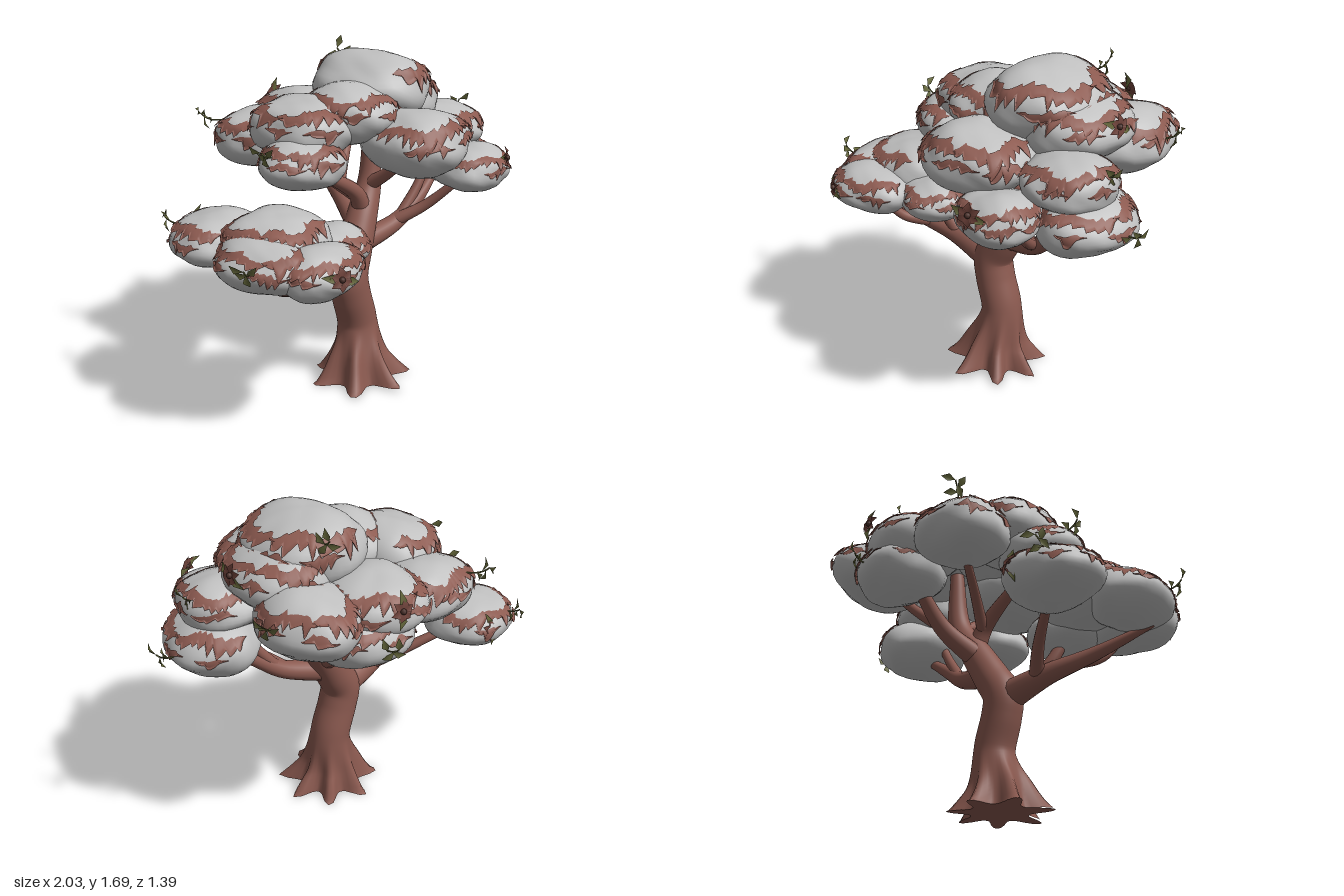
import * as THREE from 'three';
import { mergeVertices } from 'three/addons/utils/BufferGeometryUtils.js';

const material = (name, color, side = THREE.FrontSide) => {
  const m = new THREE.MeshStandardMaterial({ color, side });
  m.name = name;
  return m;
};

export function createModel() {
  const tree = new THREE.Group();
  tree.name = 'tree';
  const bark = material('bark brown', 0x8a594f);
  const foliage = material('foliage grey', 0xc0c0c0);
  const patch = material('leaf patch brown', 0x8c5a50, THREE.DoubleSide);
  const green = material('sprig olive', 0x64663a, THREE.DoubleSide);
  const petal = material('petal red brown', 0x6e423a, THREE.DoubleSide);
  const core = material('flower centre', 0x4a302a);

  let seed = 7;
  const rnd = () => (seed = (seed * 16807) % 2147483647) / 2147483647;
  const add = (parent, name, geometry, mat) => {
    const mesh = new THREE.Mesh(geometry, mat);
    mesh.name = name;
    parent.add(mesh);
    return mesh;
  };

  // Tapered limb along a smooth path, with a rounded end; swell() may widen each ring
  const limb = (name, radii, pts, steps = 20, sides = 14, swell = () => 1) => {
    const curve = new THREE.CatmullRomCurve3(pts.map(p => new THREE.Vector3(...p)));
    let geo = new THREE.TubeGeometry(curve, steps, 1, sides, false);
    const pos = geo.attributes.position, v = new THREE.Vector3();
    for (let i = 0; i <= steps; i++) {
      const c = curve.getPointAt(i / steps);
      const f = curve.getUtoTmapping(i / steps) * (radii.length - 1);
      const k = Math.min(Math.floor(f), radii.length - 2);
      const r = THREE.MathUtils.lerp(radii[k], radii[k + 1], f - k);
      for (let j = 0; j <= sides; j++) {
        const n = i * (sides + 1) + j;
        v.fromBufferAttribute(pos, n).sub(c);
        v.multiplyScalar(r * swell(Math.atan2(v.z, v.x), c.y)).add(c);
        pos.setXYZ(n, v.x, Math.max(0, v.y), v.z);
      }
    }
    geo.deleteAttribute('uv');
    geo.deleteAttribute('normal');
    geo = mergeVertices(geo);
    geo.computeVertexNormals();
    add(tree, name, geo, bark);
    const tip = new THREE.SphereGeometry(radii[radii.length - 1], 10, 8);
    add(tree, name + 'Tip', tip, bark).position.set(...pts[pts.length - 1]);
  };

  // Trunk with a flare of seven pointed roots
  const flare = (a, y) => {
    const k = Math.max(0, 1 - y / 0.32) ** 2;
    const lobe = (0.5 + 0.5 * Math.cos(7 * a + 0.9 * Math.sin(a))) ** 1.8;
    return 1 + k * (0.12 + lobe * (0.88 + 0.1 * Math.sin(a)));
  };
  limb('trunk', [.132, .122, .102, .1, .1, .092, .08, .06, .035],
    [[.02, 0, .055], [.02, .1, .05], [.035, .3, .035], [-.015, .47, .03], [-.03, .57, .025], [.03, .68, .015],
      [.12, .83, 0], [.22, 1, -.02], [.24, 1.32, -.03]], 64, 56, flare);
  const base = new THREE.Shape();
  for (let i = 0; i < 84; i++) {
    const a = i / 84 * Math.PI * 2, r = .132 * flare(a, 0);
    base[i ? 'lineTo' : 'moveTo'](Math.cos(a) * r, Math.sin(a) * r);
  }
  const sole = add(tree, 'rootUnderside', new THREE.ShapeGeometry(base), bark);
  sole.rotation.x = Math.PI / 2;
  sole.position.set(.02, 0.001, .055);

  // Branches
  limb('leftLimb', [.08, .052, .036, .016], [[-.02, .56, .03], [-.3, .62, .04], [-.52, .68, .11], [-.8, .78, .2]]);
  limb('leftFrontTwig', [.032, .02], [[-.42, .655, .08], [-.5, .7, .2], [-.55, .79, .28]]);
  limb('leftBackTwig', [.04, .018], [[-.24, .61, .03], [-.36, .7, -.1], [-.58, .84, -.28]]);
  limb('leftInnerTwig', [.038, .025], [[-.25, .61, .03], [-.31, .69, .06], [-.36, .8, .1]]);
  limb('rightLimb', [.06, .045, .035, .02], [[.08, .71, .02], [.3, .775, .09], [.44, .87, .13], [.62, 1, .14]]);
  limb('rightFrontTwig', [.034, .02], [[.3, .79, .1], [.38, .87, .22], [.44, 1.02, .38]]);
  limb('rightUpperTwig', [.03, .02], [[.34, .81, .1], [.44, .94, .13], [.55, 1.12, .15]]);
  limb('backLimb', [.06, .045, .028], [[.1, .8, -.01], [.18, .94, -.2], [.18, 1.16, -.42]]);
  limb('backRightTwig', [.034, .02], [[.17, .93, -.18], [.3, 1.04, -.24], [.46, 1.2, -.3]]);
  limb('crownLeftLimb', [.052, .042, .026], [[.14, .84, 0], [.07, .97, 0], [-.16, 1.12, -.03]]);
  limb('crownBackTwig', [.032, .02], [[.08, .95, 0], [0, 1.05, -.14], [-.12, 1.14, -.34]]);
  limb('crownFrontTwig', [.04, .022], [[.2, .98, -.02], [.19, 1.06, .1], [.17, 1.18, .24]]);

  // Point on a gently lumpy ellipsoid, by polar angle and azimuth
  const surface = (b, p, a, lift = 1) => {
    const x = Math.sin(p) * Math.cos(a), y = Math.cos(p), z = Math.sin(p) * Math.sin(a), s = b.id * 1.7;
    const k = lift * (1 + .03 * Math.sin(5 * x + s) + .03 * Math.sin(5 * z + 2 * s) + .02 * Math.sin(6 * y + 4 * x - s)
      + .012 * Math.sin(9 * x + 7 * y + s) * Math.sin(9 * z - s));
    return [b.x + x * b.rx * k, b.y + y * b.ry * k * (y < 0 ? .93 : 1), b.z + z * b.rz * k];
  };
  const grid = (cols, rows, point) => {
    const pos = [], idx = [];
    for (let i = 0; i <= cols; i++) for (let j = 0; j <= rows; j++) {
      pos.push(...point(i, j));
      if (i < cols && j < rows) {
        const n = i * (rows + 1) + j, m = n + rows + 1;
        idx.push(n, m, n + 1, m, m + 1, n + 1);
      }
    }
    let g = new THREE.BufferGeometry();
    g.setAttribute('position', new THREE.Float32BufferAttribute(pos, 3));
    g.setIndex(idx);
    g = mergeVertices(g);
    g.computeVertexNormals();
    return g;
  };
  // Ragged leaf patch on a blob: overlapping slanted leaf tips hang from its lower edge
  const band = (parent, b, a0, a1, p0, p1) => {
    const n = Math.max(10, Math.round((a1 - a0) / .045)), edges = [];
    let tip = 0, length = 4, step = 0, rise = 0;
    for (let i = 0; i <= n; i++) {
      if (step >= length) {
        step = 0;
        length = 3 + Math.floor(rnd() * 4);
        tip = rnd() < .3 ? .3 + rnd() * .2 : .08 + rnd() * .16;
        rise = rnd() * .16;
      }
      const taper = Math.min(1, i / 6, (n - i) / 6), mid = (p0 + p1) / 2, u = step++ / length;
      const wave = .1 * Math.sin(i * .21 + b.id);
      const top = p0 + wave - rise * (1 - u);
      const low = p1 + wave + tip * u;
      edges.push([mid + (top - mid) * taper, mid + (low - mid) * taper]);
    }
    add(parent, 'leafPatch', grid(n, 6, (i, j) => surface(b, THREE.MathUtils.lerp(...edges[i], j / 6),
      a0 + (a1 - a0) * i / n, j === 6 ? 1.05 : 1.02)), patch);
  };

  // Foliage clusters of blobs [x, y, z, x radius, z radius]; patches face away from the cluster axis
  let id = 0;
  const cluster = (name, cx, cz, flatness, blobs) => blobs.forEach(([x, y, z, rx, rz]) => {
    const b = { x, y, z, rx, rz, ry: flatness * (rx + rz) / 2, id: id++ };
    const group = new THREE.Group();
    group.name = name;
    tree.add(group);
    add(group, 'foliageBlob', grid(40, 24, (i, j) => surface(b, j / 24 * Math.PI, (i % 40) / 40 * Math.PI * 2)), foliage);
    const h = Math.atan2(z - cz, x - cx);
    band(group, b, h - 2.1, h - .2, .83, 1.05);
    band(group, b, h - .35, h + 2.1, .88, 1.08);
    for (const s of [-1.2, -.3, .75]) {
      const w = .28 + rnd() * .2, p = 1.25 + rnd() * .12;
      band(group, b, h + s - w, h + s + w, p, p + .14);
    }
  });
  cluster('lowerFoliage', -.5, 0, .58, [
    [-.62, .88, -.31, .24, .215], [-.76, .87, .08, .2, .25], [-.64, .85, .29, .23, .19],
    [-.58, .92, .01, .25, .24], [-.33, .84, .14, .195, .18]]);
  cluster('crownFoliage', .15, -.05, .63, [
    [.26, 1.48, -.04, .28, .3], [0, 1.4, .01, .23, .25], [-.2, 1.35, -.12, .23, .26],
    [-.33, 1.22, -.03, .22, .21], [.15, 1.265, .3, .275, .26], [.58, 1.23, .17, .22, .22],
    [.42, 1.1, .45, .2, .19], [.67, 1.06, .15, .22, .25]]);
  cluster('backFoliage', .15, -.05, .65, [
    [.17, 1.29, -.4, .25, .24], [-.15, 1.25, -.41, .23, .23], [.5, 1.28, -.32, .23, .27],
    [.44, 1.39, -.06, .23, .27], [.25, 1.17, -.42, .24, .22]]);

  // Folded leaf, pointing along +y
  const leaf = (l, w) => {
    const g = new THREE.BufferGeometry();
    g.setAttribute('position', new THREE.Float32BufferAttribute(
      [0, 0, 0, 0, l * .5, .1 * l, 0, l, 0, -w, l * .5, .25 * l, w, l * .5, .25 * l], 3));
    g.setIndex([0, 1, 3, 1, 2, 3, 0, 4, 1, 1, 4, 2]);
    g.computeVertexNormals();
    return g;
  };
  // Group whose +z points outward from the cluster it sits on
  const outward = (name, x, y, z) => {
    const g = new THREE.Group(), low = x < -.4 && y < 1;
    g.name = name;
    g.position.set(x, y, z);
    const d = new THREE.Vector3(x - (low ? -.5 : .15), .08, z - (low ? 0 : -.05)).normalize();
    g.quaternion.setFromUnitVectors(new THREE.Vector3(0, 0, 1), d);
    tree.add(g);
    return g;
  };

  // Leafy sprigs
  const stem = new THREE.QuadraticBezierCurve3(new THREE.Vector3(0, 0, -.02),
    new THREE.Vector3(0, -.02, .05), new THREE.Vector3(0, .02, .09));
  const stemGeometry = new THREE.TubeGeometry(stem, 8, .004, 5);
  const sprigLeaf = leaf(.07, .018);
  [[.89, 1.07, .14], [-.92, .9, .14], [-.7, .94, -.47], [-.28, 1.34, -.58], [-.5, 1.29, -.06],
    [.33, 1.58, -.26], [.7, 1.33, -.32], [.73, 1.3, .13], [.3, 1.18, -.6]].forEach(p => {
    const g = outward('sprig', ...p);
    add(g, 'stem', stemGeometry, green);
    for (let i = 0; i < 4; i++) {
      const m = add(g, 'sprigLeaf', sprigLeaf, green);
      m.position.copy(stem.getPoint(1 - i * .2));
      m.rotation.set(.5, 0, 1 + i * 2.2);
    }
  });

  // Six-petalled flowers with two leaves
  const petalGeometry = leaf(.06, .022), flowerLeaf = leaf(.095, .02);
  [[.42, 1.18, .64], [-.72, .88, .47], [.25, 1.36, -.65], [.68, 1.46, -.03], [-.55, .9, -.51]].forEach(p => {
    const g = outward('flower', ...p);
    for (let i = 0; i < 6; i++) add(g, 'petal', petalGeometry, petal).rotation.z = i * Math.PI / 3;
    add(g, 'flowerCentre', new THREE.SphereGeometry(.014, 10, 8), core).position.z = .01;
    for (const a of [1.3, -1.9]) {
      const m = add(g, 'flowerLeaf', flowerLeaf, green);
      m.rotation.z = a;
      m.position.z = -.012;
    }
  });
  return tree;
}
